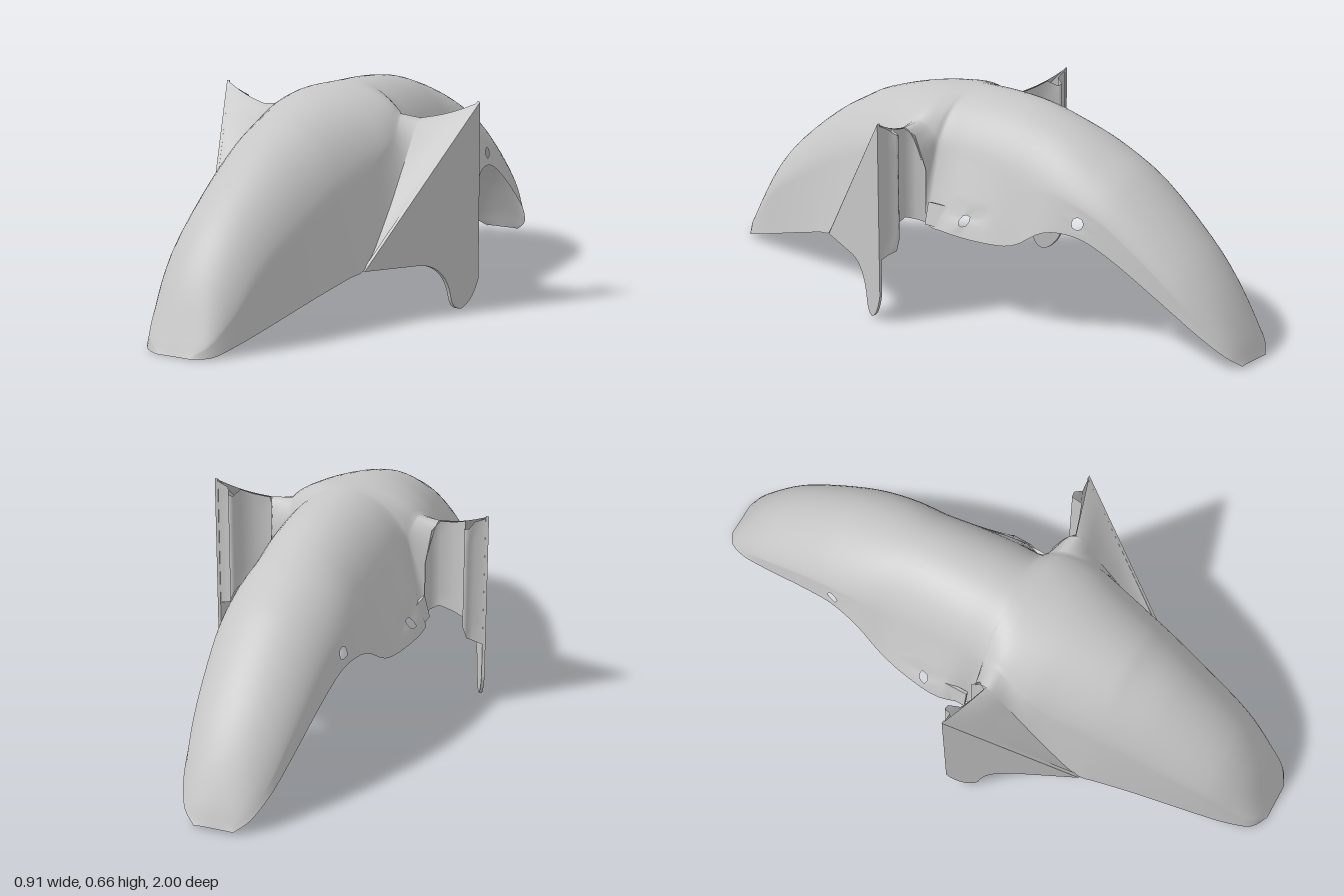
import * as THREE from 'three';

const paint = new THREE.MeshStandardMaterial({ color: 0xc6c6c6, side: THREE.DoubleSide });
paint.name = 'grey paint';

// Stations front to back: z, crown y, shoulder x, shoulder y, lower edge x, lower edge y
const STATIONS = [
  [1.0, 0.004, 0.05, 0.004, 0.06, 0.004],
  [0.97, 0.07, 0.1, 0.04, 0.11, 0.008],
  [0.9, 0.215, 0.13, 0.11, 0.145, 0.03],
  [0.8, 0.345, 0.155, 0.215, 0.175, 0.06],
  [0.6, 0.5, 0.188, 0.335, 0.228, 0.12],
  [0.48, 0.565, 0.206, 0.4, 0.263, 0.155],
  [0.43, 0.59, 0.214, 0.42, 0.277, 0.168],
  [0.3, 0.63, 0.232, 0.475, 0.28, 0.31],
  [0.2, 0.65, 0.238, 0.53, 0.28, 0.45],
  [0.1, 0.66, 0.21, 0.582, 0.28, 0.575],
  [0.05, 0.663, 0.198, 0.55, 0.262, 0.48],
  [0.03, 0.664, 0.195, 0.52, 0.258, 0.28],
  [-0.06, 0.663, 0.2, 0.5, 0.295, 0.28],
  [-0.2, 0.65, 0.2, 0.47, 0.28, 0.27],
  [-0.3, 0.625, 0.195, 0.45, 0.255, 0.275],
  [-0.4, 0.59, 0.19, 0.45, 0.228, 0.33],
  [-0.5, 0.545, 0.185, 0.42, 0.205, 0.33],
  [-0.6, 0.49, 0.175, 0.37, 0.19, 0.29],
  [-0.8, 0.32, 0.15, 0.22, 0.158, 0.165],
  [-0.9, 0.2, 0.125, 0.12, 0.135, 0.095],
  [-0.97, 0.08, 0.09, 0.05, 0.1, 0.04],
  [-1.0, 0.012, 0.05, 0.012, 0.06, 0.01],
];
const LAST = STATIONS.length - 1;
const WING_FRONT = 6, WING_BACK = 9; // stations where the wing begins and ends
const curve = (f) => new THREE.CatmullRomCurve3(STATIONS.map((s) => new THREE.Vector3(...f(s))));
const crown = curve((s) => [0, s[1], s[0]]);
const shoulder = curve((s) => [s[2], s[3], s[0]]);
const edge = curve((s) => [s[4], s[5], s[0]]);

// Surface through a grid of points; skip(i, j) leaves a cell open
function gridGeometry(rows, skip = () => false) {
  const n = rows[0].length;
  const index = [];
  for (let i = 0; i < rows.length - 1; i++) {
    for (let j = 0; j < n - 1; j++) {
      if (skip(i, j)) continue;
      const a = i * n + j;
      index.push(a, a + 1, a + n, a + 1, a + n + 1, a + n);
    }
  }
  const geo = new THREE.BufferGeometry().setFromPoints(rows.flat());
  geo.setIndex(index);
  geo.computeVertexNormals();
  return geo;
}

// Rounded crown running into a straight skirt
const ARC = 11, SKIRT = 9, HALF = ARC + SKIRT, MAX = 1.13;
function sectionPoint(t, j) {
  const k = Math.abs(j), side = Math.sign(j);
  const top = crown.getPoint(t), mid = shoulder.getPoint(t), low = edge.getPoint(t);
  const p = new THREE.Vector3();
  if (k <= ARC) {
    const a = (k / ARC) * MAX;
    const drop = (1 - Math.cos(a)) / (1 - Math.cos(MAX));
    p.set((mid.x * Math.sin(a)) / Math.sin(MAX),
      THREE.MathUtils.lerp(top.y, mid.y, drop),
      THREE.MathUtils.lerp(top.z, mid.z, k / ARC));
  } else {
    p.lerpVectors(mid, low, (k - ARC) / SKIRT);
  }
  p.x *= side;
  return p;
}

function fenderGeometry() {
  const rows = [];
  for (let i = 0; i <= LAST * 4; i++) {
    const row = [];
    for (let j = -HALF; j <= HALF; j++) row.push(sectionPoint(i / (LAST * 4), j));
    rows.push(row);
  }
  // Round bolt holes: open four cells and pull their rim onto a circle
  const holes = [];
  for (const [hz, hy, r] of [[-0.5, 0.37, 0.019], [-0.13, 0.31, 0.016]]) {
    for (const side of [-1, 1]) {
      let best = Infinity, bi = 0, bj = 0;
      for (let i = 2; i < rows.length - 2; i++) {
        for (let k = ARC + 1; k < HALF - 1; k++) {
          const p = rows[i][HALF + side * k];
          const d = Math.hypot(p.z - hz, p.y - hy);
          if (d < best) { best = d; bi = i; bj = HALF + side * k; }
        }
      }
      const c = rows[bi][bj].clone();
      for (let di = -1; di <= 1; di++) {
        for (let dj = -1; dj <= 1; dj++) {
          if (!di && !dj) continue;
          const p = rows[bi + di][bj + dj], len = Math.hypot(di, dj);
          p.z = c.z - (di / len) * r;
          p.y = c.y - ((dj * side) / len) * r;
        }
      }
      holes.push([bi, bj]);
    }
  }
  return gridGeometry(rows, (i, j) =>
    holes.some(([a, b]) => (i === a || i === a - 1) && (j === b || j === b - 1)));
}

// Sloping channel between the fender side and the wing ridge
function channelGeometry(side) {
  const front = new THREE.Vector3(0.28, 0.167, 0.43), tip = new THREE.Vector3(0.455, 0.63, 0.05);
  const rows = [];
  for (let i = 0; i <= 12; i++) {
    const valley = edge.getPoint((WING_FRONT + ((WING_BACK - WING_FRONT) * i) / 12) / LAST);
    const s = THREE.MathUtils.clamp((0.43 - valley.z) / 0.33, 0, 1);
    const ridge = front.clone().lerp(tip, s);
    const row = [];
    for (let j = 0; j <= 8; j++) {
      const p = valley.clone().lerp(ridge, j / 8);
      p.y -= 0.008 * s * Math.sin((Math.PI * j) / 8);
      p.x *= side;
      row.push(p);
    }
    rows.push(side > 0 ? row : row.reverse());
  }
  return gridGeometry(rows);
}

// Rear wall closing the wing, with a raised lip: x, z, top y, bottom y
const WALL = [
  [0.258, 0.035, 0.45, 0.28], [0.266, 0.07, 0.55, 0.285], [0.285, 0.097, 0.573, 0.29],
  [0.335, 0.082, 0.583, 0.285], [0.375, 0.068, 0.597, 0.275], [0.385, 0.03, 0.585, 0.26],
  [0.4, 0.028, 0.59, 0.225], [0.41, 0.052, 0.605, 0.21], [0.453, 0.051, 0.625, 0.2],
];
function rearWallGeometry(side) {
  const rows = WALL.map(([x, z, top, bottom]) => {
    const column = [];
    for (let j = 0; j <= 6; j++) {
      column.push(new THREE.Vector3(side * x, THREE.MathUtils.lerp(bottom, top, j / 6), z));
    }
    return side > 0 ? column : column.reverse();
  });
  return gridGeometry(rows);
}

// Upright outer plate of the wing, drawn in z and y, then swept outward to the rear
function wingPlateGeometry(side) {
  const shape = new THREE.Shape();
  shape.moveTo(0.43, 0.165);
  shape.lineTo(0.05, 0.63);
  shape.lineTo(0.05, 0.09);
  shape.quadraticCurveTo(0.07, 0.02, 0.11, 0.005);
  shape.quadraticCurveTo(0.14, 0.01, 0.145, 0.05);
  shape.quadraticCurveTo(0.165, 0.155, 0.26, 0.158);
  shape.lineTo(0.43, 0.165);
  const geo = new THREE.ExtrudeGeometry(shape, { depth: 0.01, bevelEnabled: false, curveSegments: 10 });
  const pos = geo.attributes.position;
  for (let i = 0; i < pos.count; i++) {
    const z = pos.getX(i), y = pos.getY(i), depth = pos.getZ(i);
    pos.setXYZ(i, side * (0.28 + ((0.43 - z) / 0.38) * 0.175 - depth), y, z);
  }
  geo.computeVertexNormals();
  return geo;
}

export function createModel() {
  const model = new THREE.Group();
  model.name = 'frontFender';
  const add = (name, geo) => {
    const mesh = new THREE.Mesh(geo, paint);
    mesh.name = name;
    model.add(mesh);
    return mesh;
  };

  add('fenderShell', fenderGeometry());
  for (const side of [1, -1]) {
    const label = side > 0 ? 'left' : 'right';
    add(label + 'WingChannel', channelGeometry(side));
    add(label + 'WingPlate', wingPlateGeometry(side));
    add(label + 'WingRearWall', rearWallGeometry(side));
    // Small mounting tab on the skirt
    const tab = add(label + 'MountTab', new THREE.BoxGeometry(0.01, 0.07, 0.08));
    tab.position.set(side * 0.268, 0.315, -0.02);
    tab.rotation.z = side * 0.25;
  }
  return model;
}
